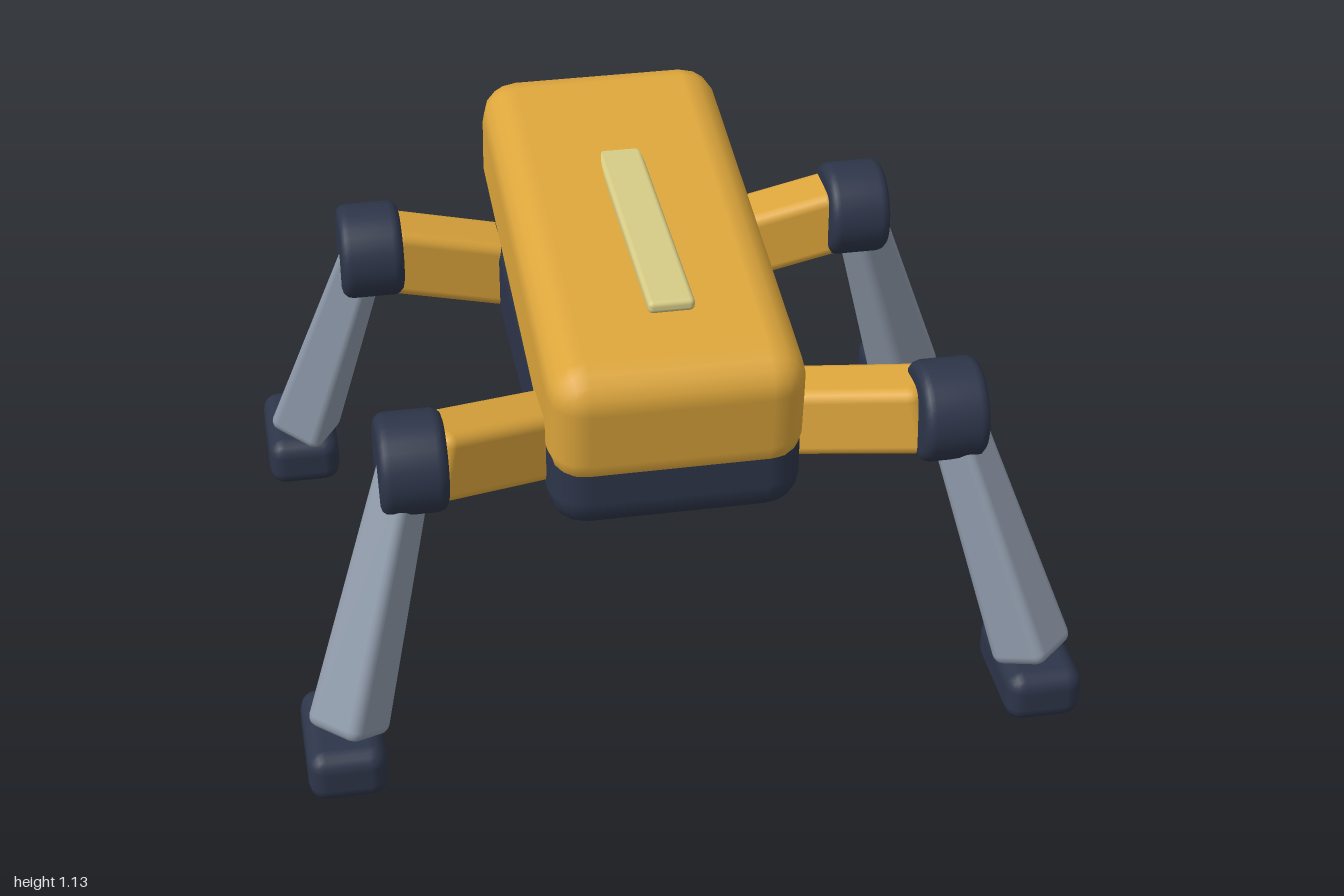
import * as THREE from 'three';
import { RoundedBoxGeometry } from 'three/addons/geometries/RoundedBoxGeometry.js';

const material = (name, color) => {
  const m = new THREE.MeshStandardMaterial({ color });
  m.name = name;
  return m;
};

export function createModel() {
  const amber = material('amber shell', 0xdda63c);
  const navy = material('dark navy', 0x2d3549);
  const steel = material('steel grey', 0x8e99a9);
  const pale = material('pale yellow', 0xd6cb85);
  const model = new THREE.Group();
  model.name = 'walkingRobot';

  const add = (name, geometry, mat, x, y, z, parent = model) => {
    const mesh = new THREE.Mesh(geometry, mat);
    mesh.name = name;
    mesh.position.set(x, y, z);
    parent.add(mesh);
    return mesh;
  };
  const rounded = (w, h, d, r, segments = 2) => new RoundedBoxGeometry(w, h, d, segments, r);

  // Rounded bar running from a to b, optionally narrower at a
  const bar = (name, a, b, w, h, mat, parent, startScale = 1) => {
    const length = a.distanceTo(b);
    const geometry = rounded(w, h, length, 0.03);
    const p = geometry.attributes.position;
    for (let i = 0; i < p.count; i++) {
      const s = THREE.MathUtils.lerp(startScale, 1, p.getZ(i) / length + 0.5);
      p.setXY(i, p.getX(i) * s, p.getY(i) * s);
    }
    const mid = a.clone().lerp(b, 0.5);
    const mesh = new THREE.Mesh(geometry, mat);
    mesh.name = name;
    mesh.position.copy(mid);
    mesh.lookAt(b);
    parent.add(mesh);
  };

  // Body: dark chassis under a nose-down tilted shell
  add('chassis', rounded(0.658, 0.35, 1.21, 0.1), navy, 0, 0.665, -0.085);
  add('upperShell', rounded(0.66, 0.36, 1.394, 0.1), amber, 0, 0.879, -0.148).rotation.x = 0.12;

  // Light strip on top, and the rear lamp in its housing
  add('topStrip', rounded(0.12, 0.035, 0.8, 0.014), pale, 0, 1.073, -0.01);
  add('rearHousing', rounded(0.38, 0.12, 0.1, 0.03), navy, 0, 0.835, -0.795);
  add('rearLamp', rounded(0.32, 0.07, 0.03, 0.008), pale, 0, 0.86, -0.855);

  // Joint disc with softened rims, turned so its axis runs along x
  const R = 0.13, H = 0.085, E = 0.028;
  const profile = [[0, -H], [R - E, -H]];
  for (let i = 1; i <= 3; i++) {
    const a = (i / 3) * Math.PI / 2;
    profile.push([R - E + E * Math.sin(a), -H + E - E * Math.cos(a)]);
  }
  const points = profile.map(([r, y]) => new THREE.Vector2(r, y));
  points.push(...profile.map(([r, y]) => new THREE.Vector2(r, -y)).reverse());
  const jointGeometry = new THREE.LatheGeometry(points, 32).rotateZ(Math.PI / 2);

  // Four legs, mirrored left and right
  const legs = [
    { name: 'front', hipZ: 0.245, jointZ: 0.537, ankleZ: 0.755, footZ: 0.71 },
    { name: 'rear', hipZ: -0.555, jointZ: -0.497, ankleZ: -0.617, footZ: -0.68 },
  ];
  for (const side of [1, -1]) {
    for (const leg of legs) {
      const group = new THREE.Group();
      group.name = leg.name + (side > 0 ? 'LeftLeg' : 'RightLeg');
      const at = (x, y, z) => new THREE.Vector3(side * x, y, z);
      const armEndZ = THREE.MathUtils.lerp(leg.hipZ, leg.jointZ, 0.94);
      bar('upperArm', at(0.2, 0.645, leg.hipZ), at(0.65, 0.782, armEndZ), 0.17, 0.19, amber, group);
      add('joint', jointGeometry, navy, side * 0.68, 0.79, leg.jointZ, group);
      bar('lowerLeg', at(0.69, 0.8, leg.jointZ), at(0.892, 0.145, leg.ankleZ), 0.165, 0.165, steel, group, 0.66);
      add('foot', rounded(0.2, 0.142, 0.316, 0.045), navy, side * 0.9, 0.071, leg.footZ, group);
      model.add(group);
    }
  }
  return model;
}
